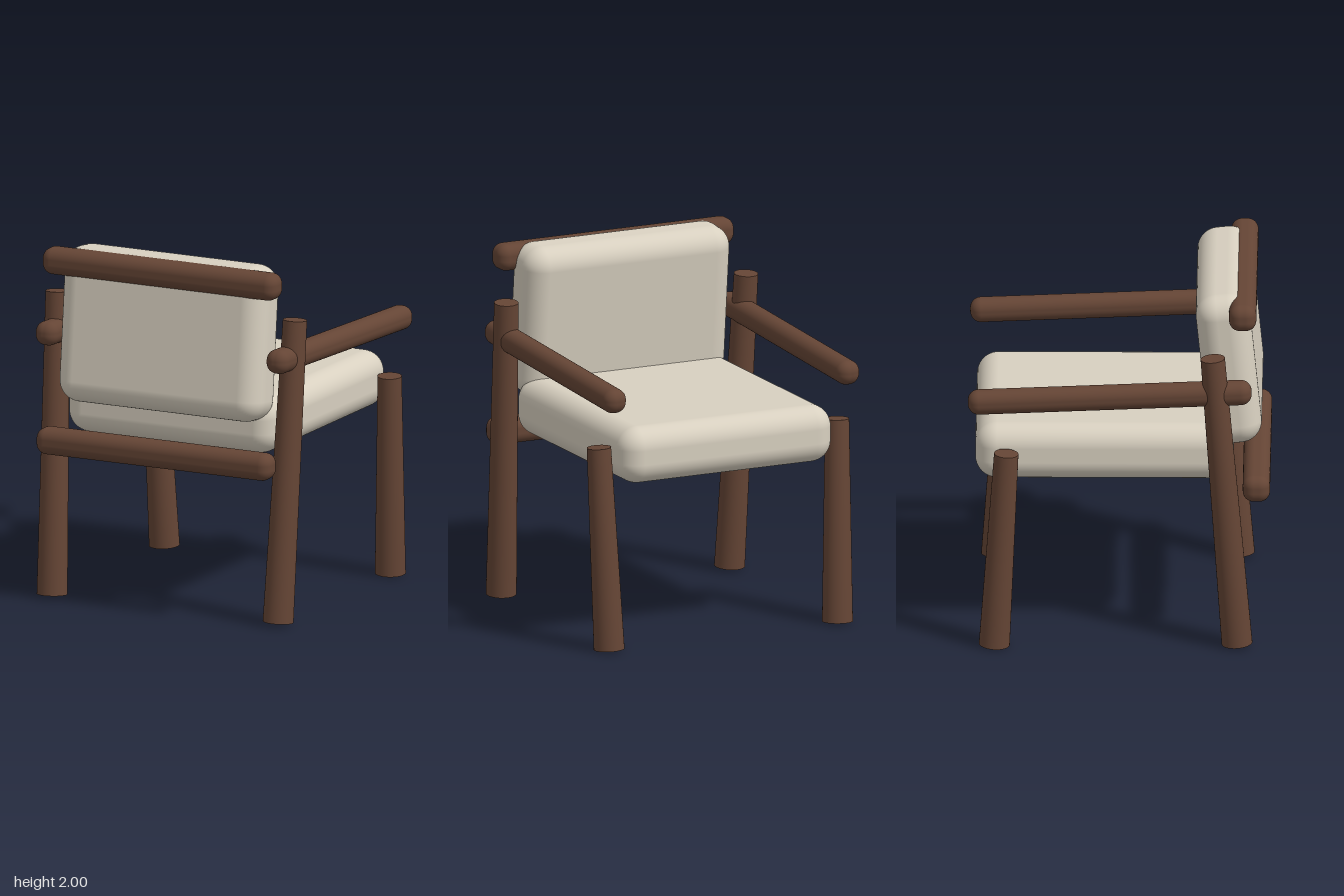
import * as THREE from 'three';
import { RoundedBoxGeometry } from 'three/addons/geometries/RoundedBoxGeometry.js';

const wood = new THREE.MeshStandardMaterial({ color: 0x654535 });
const fabric = new THREE.MeshStandardMaterial({ color: 0xd8d0c0 });

// Soft-edged block, optionally tilted about x
function block(name, material, size, radius, position, tilt = 0) {
  const mesh = new THREE.Mesh(new RoundedBoxGeometry(...size, 6, radius), material);
  mesh.name = name;
  mesh.position.set(...position);
  mesh.rotation.x = tilt;
  return mesh;
}

// Tapered round leg running from its foot to its top
function leg(name, foot, top) {
  const a = new THREE.Vector3(...foot);
  const b = new THREE.Vector3(...top);
  const axis = b.clone().sub(a);
  const mesh = new THREE.Mesh(new THREE.CylinderGeometry(0.067, 0.085, axis.length(), 32), wood);
  mesh.name = name;
  mesh.position.copy(a).add(b).multiplyScalar(0.5);
  mesh.quaternion.setFromUnitVectors(new THREE.Vector3(0, 1, 0), axis.normalize());
  return mesh;
}

export function createModel() {
  const chair = new THREE.Group();
  chair.name = 'armchair';

  // Cushions; the backrest leans, its lower edge furthest out
  chair.add(
    block('seatCushion', fabric, [1.3, 0.32, 1.42], 0.12, [0, 1.09, -0.08]),
    block('backCushion', fabric, [1.26, 0.87, 0.3], 0.12, [0, 1.563, 0.602], -0.1),
  );

  // Cross rails behind the backrest and below the seat
  chair.add(
    block('topRail', wood, [1.45, 0.15, 0.15], 0.06, [0, 1.915, 0.68]),
    block('lowerRail', wood, [1.45, 0.15, 0.15], 0.06, [0, 0.913, 0.755]),
  );

  // Splayed legs and sloping armrests on both sides
  for (const [side, s] of [['left', 1], ['right', -1]]) {
    chair.add(
      leg(side + 'TallLeg', [s * 0.7, 0.017, 0.649], [s * 0.735, 1.7, 0.516]),
      leg(side + 'ShortLeg', [s * 0.7, 0.006, -0.684], [s * 0.73, 1.137, -0.618]),
      block(side + 'Armrest', wood, [0.135, 0.135, 1.56], 0.06, [s * 0.715, 1.464, -0.05], -0.042),
    );
  }
  return chair;
}
